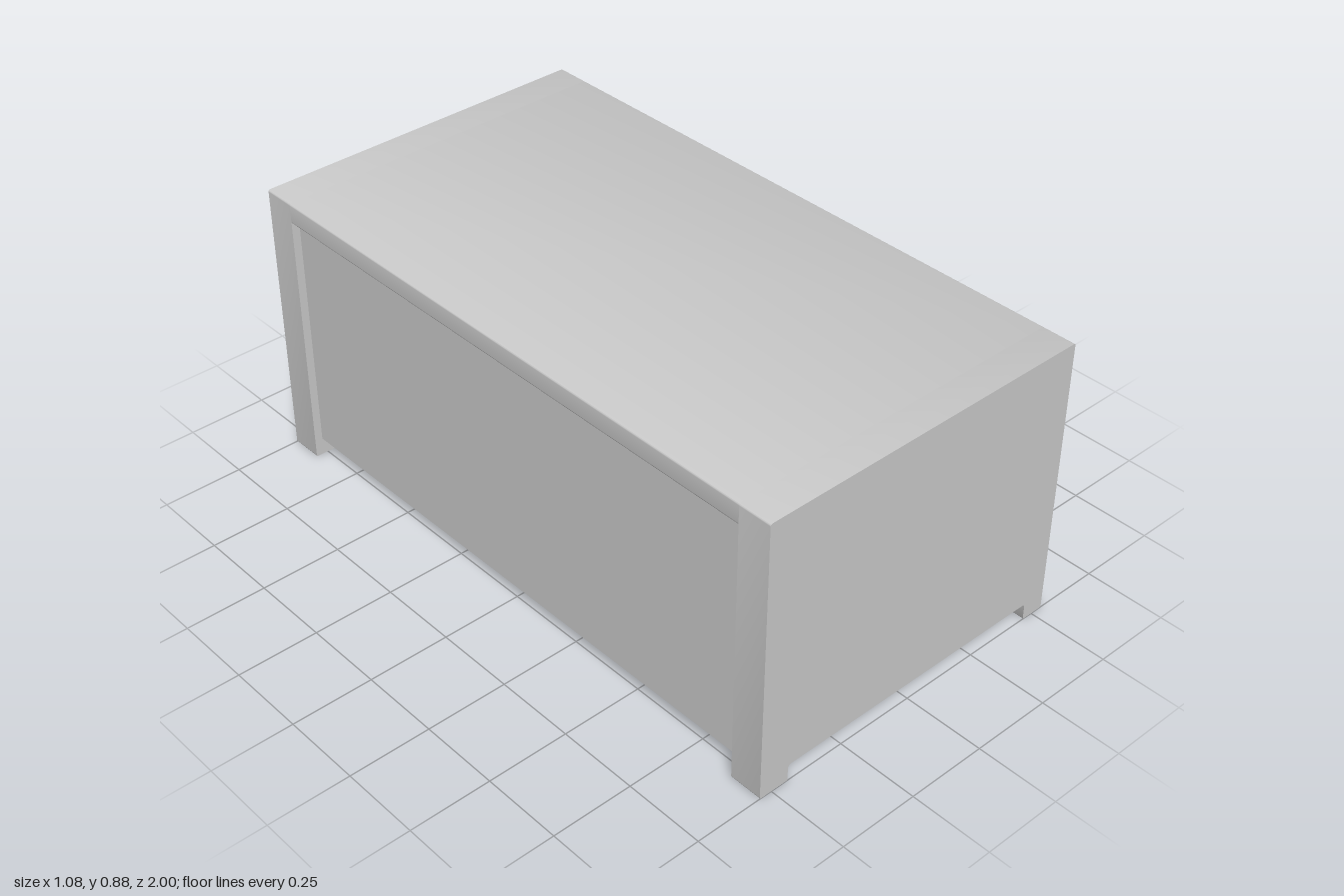
import * as THREE from 'three';
import { toCreasedNormals } from 'three/addons/utils/BufferGeometryUtils.js';

const material = new THREE.MeshStandardMaterial({ color: 0xcccccc });

// Closed outline whose corners are rounded by each point's radius: [x, y, r]
function roundedShape(points) {
  const shape = new THREE.Shape();
  points.forEach(([x, y, r], i) => {
    const corner = new THREE.Vector2(x, y);
    const toward = (p) => new THREE.Vector2(p[0], p[1]).sub(corner).setLength(r).add(corner);
    const a = toward(points[(i + points.length - 1) % points.length]);
    const b = toward(points[(i + 1) % points.length]);
    if (i === 0) shape.moveTo(a.x, a.y);
    else shape.lineTo(a.x, a.y);
    if (r > 0) shape.quadraticCurveTo(x, y, b.x, b.y);
  });
  shape.closePath();
  return shape;
}

export function createModel() {
  const desk = new THREE.Group();
  desk.name = 'desk';

  const H = 0.88, W = 0.54, END = 0.897;     // height, half width, inner face of the ends
  const BASE = 0.055, UNDER = 0.817;         // carcass bottom, underside of the top
  const FRONT = 0.467, BACK = -0.515, BACK_IN = -0.43;

  const addMesh = (name, geometry) => {
    const mesh = new THREE.Mesh(geometry, material);
    mesh.name = name;
    desk.add(mesh);
    return mesh;
  };

  // Profile in x-y pushed along z between two depths
  const addProfile = (name, points, z0, z1) => {
    const geometry = new THREE.ExtrudeGeometry(roundedShape(points), {
      depth: z1 - z0, bevelEnabled: false, curveSegments: 4,
    });
    geometry.translate(0, 0, z0);
    return addMesh(name, toCreasedNormals(geometry, 0.6));
  };

  // Box given by its limits on each axis
  const addBox = (name, x0, x1, y0, y1, z0, z1) => {
    const geometry = new THREE.BoxGeometry(x1 - x0, y1 - y0, z1 - z0);
    geometry.translate((x0 + x1) / 2, (y0 + y1) / 2, (z0 + z1) / 2);
    return addMesh(name, geometry);
  };

  // End panels, each cut away below to leave two feet
  const endOutline = [
    [-W, 0, 0.005], [-0.443, 0, 0.005], [-0.443, 0.053, 0.012], [0.465, 0.053, 0.012],
    [0.465, 0, 0.005], [W, 0, 0.005], [W, H, 0.007], [-W, H, 0.007],
  ];
  addProfile('frontEndPanel', endOutline, END, 1);
  addProfile('rearEndPanel', endOutline, -1, -END);

  // Table top between the ends
  addProfile('tableTop', [
    [-W, UNDER, 0.005], [W, UNDER, 0.005], [W, H, 0.007], [-W, H, 0.007],
  ], -END, END);

  // Modesty panel along the closed long side
  addBox('backPanel', BACK, BACK_IN, BASE, UNDER, -END, END);

  // Solid cupboard beside the knee space
  addBox('cupboard', BACK_IN, FRONT, BASE, UNDER, 0.315, END);

  // Open shelf unit on the other side of the knee space
  addBox('shelfDivider', BACK_IN, FRONT, BASE, UNDER, -0.35, -0.29);
  for (const [name, y0, y1] of [['bottomShelf', BASE, 0.122], ['middleShelf', 0.434, 0.494]]) {
    addBox(name, BACK_IN, FRONT, y0, y1, -END, -0.35);
  }

  return desk;
}
